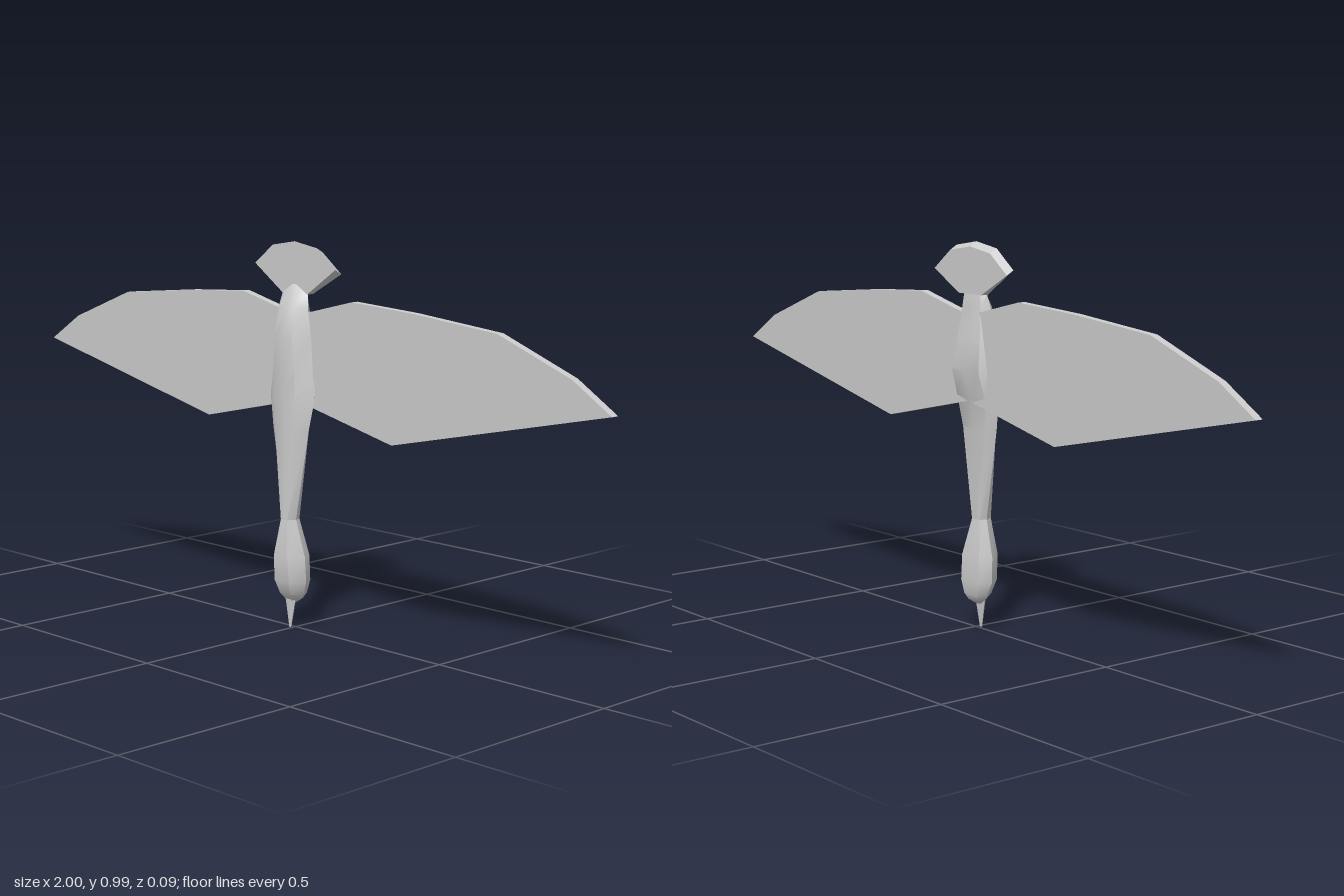
import * as THREE from 'three';
import { toCreasedNormals } from 'three/addons/utils/BufferGeometryUtils.js';

const CX = -0.01; // body axis
const material = new THREE.MeshStandardMaterial({ color: 0xcccccc });

// Cross-section outline: [side fraction, depth fraction], depth 1 = front, 0 = back
const RING = [[0, 1], [0.5, 0.96], [1, 0.45], [0.7, 0.04], [0, 0], [-0.7, 0.04], [-1, 0.45], [-0.5, 0.96]];

// Skin over sections listed from top to bottom: [y, halfWidth, zFront, zBack]
function loft(name, sections) {
  const n = RING.length, pos = [], idx = [];
  for (const [y, w, f, b] of sections)
    for (const [s, d] of RING) pos.push(CX + s * w, y, b + d * (f - b));
  for (let i = 0; i < sections.length - 1; i++)
    for (let j = 0; j < n; j++) {
      const a = i * n + j, b = i * n + (j + 1) % n;
      idx.push(a, a + n, b, b, a + n, b + n);
    }
  // flat caps
  const last = (sections.length - 1) * n;
  for (let j = 1; j < n - 1; j++) idx.push(0, j, j + 1, last, last + j + 1, last + j);
  const g = new THREE.BufferGeometry();
  g.setAttribute('position', new THREE.Float32BufferAttribute(pos, 3));
  g.setIndex(idx);
  const mesh = new THREE.Mesh(toCreasedNormals(g, 0.75), material);
  mesh.name = name;
  return mesh;
}

// Flat slab cut from an outline, between two depths
function slab(name, points, zBack, zFront) {
  const shape = new THREE.Shape(points.map(([x, y]) => new THREE.Vector2(x, y)));
  const g = new THREE.ExtrudeGeometry(shape, { depth: zFront - zBack, bevelEnabled: false });
  g.translate(0, 0, zBack);
  const mesh = new THREE.Mesh(g, material);
  mesh.name = name;
  return mesh;
}

export function createModel() {
  const bird = new THREE.Group();
  bird.name = 'bird';

  // Torso tapering down into the neck
  bird.add(loft('body', [
    [0.885, 0.012, -0.004, -0.014],
    [0.865, 0.045, 0.006, -0.021],
    [0.83, 0.052, 0.025, -0.024],
    [0.755, 0.064, 0.037, -0.034],
    [0.67, 0.076, 0.036, -0.046],
    [0.6, 0.08, 0.035, -0.026],
    [0.52, 0.065, 0.034, -0.015],
    [0.285, 0.022, 0.034, -0.01],
  ]));

  // Head and pointed beak
  bird.add(loft('head', [
    [0.285, 0.022, 0.034, -0.01],
    [0.19, 0.05, 0.047, -0.028],
    [0.125, 0.052, 0.043, -0.03],
    [0.09, 0.038, 0.03, -0.027],
    [0.075, 0.026, 0.018, -0.02],
    [0.065, 0.012, 0.01, -0.006],
  ]));
  bird.add(loft('beak', [
    [0.08, 0.018, 0.019, -0.002],
    [0.06, 0.014, 0.017, 0.001],
    [0, 0.003, 0.012, 0.007],
  ]));

  // Mirrored wings
  const wing = [[0, 0.81], [0.06, 0.822], [0.195, 0.855], [0.4, 0.843], [0.665, 0.818],
    [0.885, 0.735], [1, 0.663], [0.333, 0.516], [0.07, 0.575], [0, 0.59]];
  bird.add(slab('leftWing', wing, -0.024, -0.002));
  bird.add(slab('rightWing', wing.map(([x, y]) => [-x, y]), -0.024, -0.002));

  // Fan tail, its rear face set slightly lower than the front
  const tail = slab('tail', [[-0.155, 0.93], [-0.09, 0.98], [CX, 0.993], [0.07, 0.98],
    [0.135, 0.93], [0.035, 0.862], [-0.055, 0.862]], -0.027, -0.006);
  const p = tail.geometry.attributes.position;
  for (let i = 0; i < p.count; i++)
    if (p.getZ(i) < -0.02 && p.getY(i) > 0.9) p.setY(i, p.getY(i) - 0.012);
  tail.geometry.computeVertexNormals();
  bird.add(tail);

  return bird;
}
